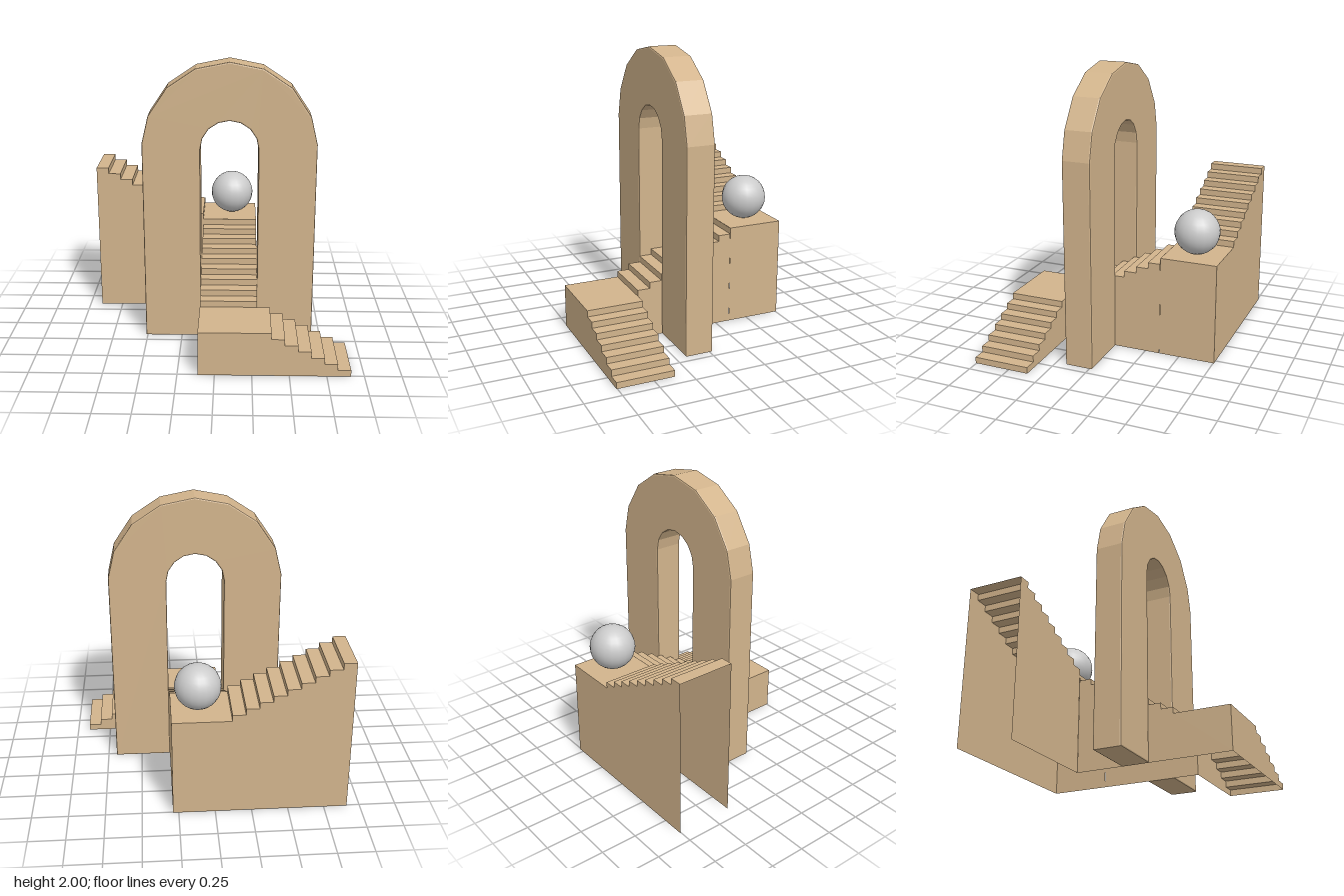
import * as THREE from 'three';

const RUN = 0.8 / 9;    // tread depth
const RISE = 0.4 / 9;   // riser height
const WIDTH = 0.4;      // stair width
const tan = new THREE.MeshStandardMaterial({ color: 0xd2b48c, side: THREE.DoubleSide, flatShading: true });
const grey = new THREE.MeshStandardMaterial({ color: 0xcccccc });

function addMesh(group, name, geometry, material) {
  const mesh = new THREE.Mesh(geometry, material);
  mesh.name = name;
  group.add(mesh);
  return mesh;
}

// Stepped outline: count steps, starting at distance s and rising from level
function steps(s, level, count) {
  const pts = [];
  for (let i = 0; i < count; i++) {
    const y = (level + i + 1) * RISE;
    pts.push([s + i * RUN, y - RISE], [s + i * RUN, y], [s + (i + 1) * RUN, y]);
  }
  return pts;
}

// Ribbon of treads and risers across the stair width
function treadGeometry(profile) {
  const pos = [];
  for (let i = 0; i + 1 < profile.length; i++) {
    const [a, b] = [profile[i], profile[i + 1]];
    pos.push(...a, 0, ...a, WIDTH, ...b, 0, ...b, 0, ...a, WIDTH, ...b, WIDTH);
  }
  const g = new THREE.BufferGeometry();
  g.setAttribute('position', new THREE.Float32BufferAttribute(pos, 3));
  g.computeVertexNormals();
  return g;
}

// Side wall from the stepped outline down to the ground
function wallGeometry(profile) {
  const outline = [...profile];
  if (outline.at(-1)[1] > 0) outline.push([outline.at(-1)[0], 0]);
  if (outline[0][1] > 0) outline.push([outline[0][0], 0]);
  return new THREE.ShapeGeometry(new THREE.Shape(outline.map(p => new THREE.Vector2(...p))));
}

// Hollow flight, open underneath, running along local +x
function flight(name, treads, nearWall, farWall) {
  const g = new THREE.Group();
  g.name = name;
  addMesh(g, 'treads', treadGeometry(treads), tan);
  addMesh(g, 'nearWall', wallGeometry(nearWall), tan);
  addMesh(g, 'farWall', wallGeometry(farWall), tan).position.z = WIDTH;
  return g;
}

// Round-headed arch with faceted curves and a fine bevel
function archGeometry() {
  const spring = 1.4, outer = 0.6, inner = 0.2, depth = 0.2, bevel = 0.01;
  const shape = new THREE.Shape();
  shape.moveTo(-outer, 0);
  shape.lineTo(-inner, 0);
  for (let i = 8; i >= 0; i--) {
    const a = i * Math.PI / 8;
    shape.lineTo(inner * Math.cos(a), spring + inner * Math.sin(a));
  }
  shape.lineTo(inner, 0);
  shape.lineTo(outer, 0);
  for (let i = 0; i <= 8; i++) {
    const a = i * Math.PI / 8;
    const y = i % 8 === 0 ? 0.037 : outer * Math.sin(a);
    shape.lineTo(outer * Math.cos(a), spring + y);
  }
  const g = new THREE.ExtrudeGeometry(shape, {
    depth: depth - 2 * bevel, bevelEnabled: true, bevelThickness: bevel,
    bevelSize: bevel, bevelOffset: -bevel, bevelSegments: 2,
  });
  return g.translate(0, 0, bevel);
}

export function createModel() {
  const model = new THREE.Group();
  model.name = 'archwayWithStairs';

  // Lower flight climbs towards -x and ends in a landing
  const lowSteps = steps(0, 0, 7);
  const lowEnd = 7 * RUN + WIDTH;
  const lowAll = [...lowSteps, [lowEnd, 7 * RISE], [lowEnd, 0]];
  const lower = flight('lowerStairs', lowAll, lowAll, lowSteps);
  lower.position.set(0.911, 0, 0.756);
  lower.rotation.y = Math.PI;

  // Middle flight climbs through the arch towards -z
  const midSteps = [...steps(0, 7, 8), [8 * RUN, 16 * RISE]];
  const middle = flight('middleStairs', midSteps, midSteps, midSteps);
  middle.position.set(-0.111, 0, 0.356);
  middle.rotation.y = Math.PI / 2;

  // Upper flight starts with a landing and climbs towards -x, its end open
  const topSteps = steps(WIDTH, 16, 9);
  const topAll = [[0, 0], [0, 16 * RISE], ...topSteps];
  const upper = flight('upperStairs', topAll, topSteps, topAll);
  upper.position.set(0.289, 0, -0.356);
  upper.rotation.y = Math.PI;

  model.add(lower, middle, upper);

  addMesh(model, 'arch', archGeometry(), tan).position.set(0.089, 0, -0.022);

  // Ball resting on the upper landing
  addMesh(model, 'ball', new THREE.SphereGeometry(0.158, 20, 16), grey)
    .position.set(0.105, 16 * RISE + 0.161, -0.556);

  return model;
}
